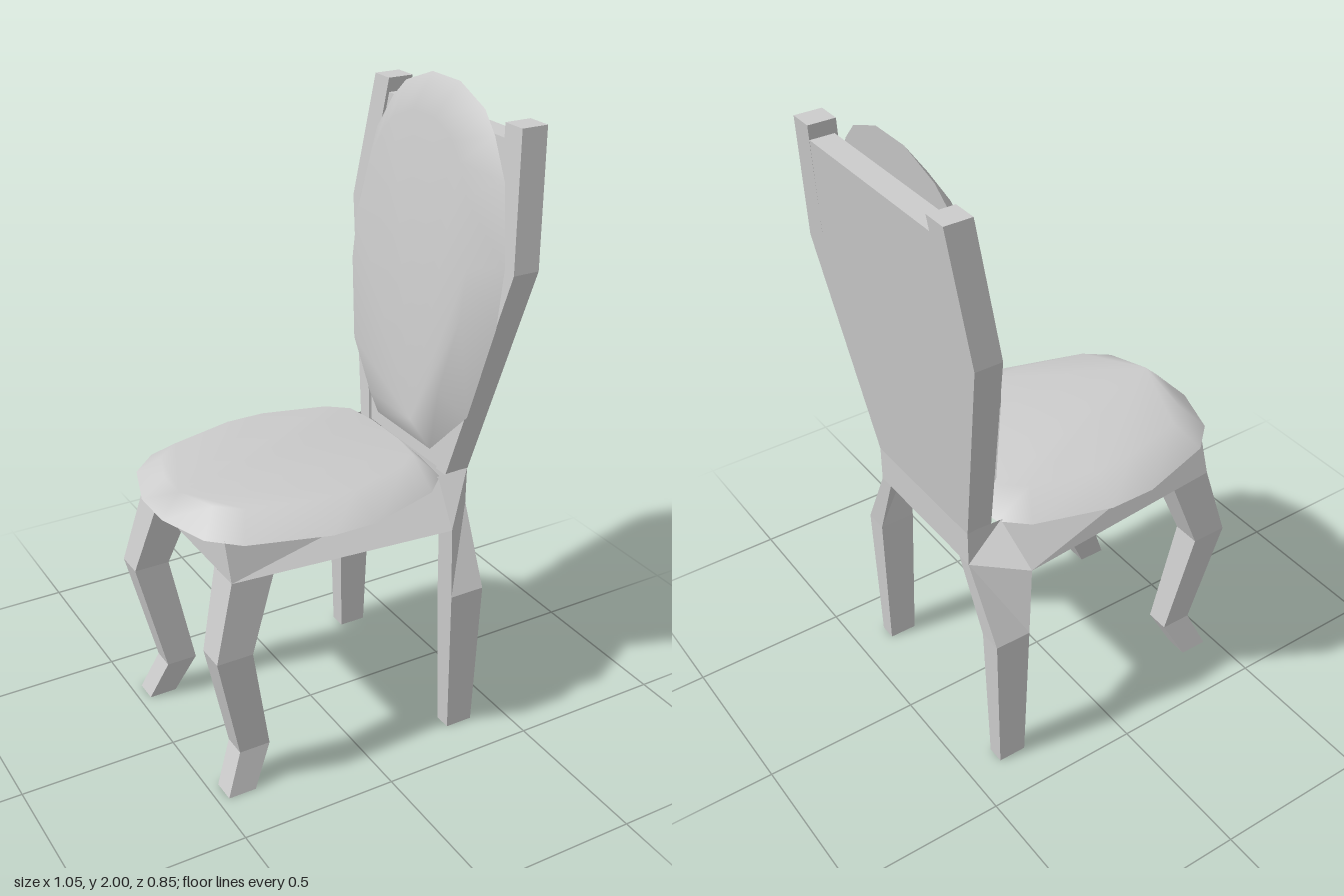
import * as THREE from 'three';

const flat = new THREE.MeshStandardMaterial({ color: 0xcccccc, flatShading: true, side: THREE.DoubleSide });
const smooth = new THREE.MeshStandardMaterial({ color: 0xcccccc, side: THREE.DoubleSide });

// Skin a stack of rings (bottom to top, each running +x on its +z side).
function loft(rings, capBottom, capTop) {
  const n = rings[0].length, pos = rings.flat(2), idx = [];
  for (let i = 0; i < rings.length - 1; i++) {
    for (let j = 0; j < n; j++) {
      const k = (j + 1) % n, a = i * n + j, b = i * n + k;
      idx.push(a, b, b + n, a, b + n, a + n);
    }
  }
  const cap = (start, flip) => {
    for (let j = 1; j < n - 1; j++) {
      idx.push(start, start + (flip ? j + 1 : j), start + (flip ? j : j + 1));
    }
  };
  if (capTop) cap((rings.length - 1) * n, false);
  if (capBottom) {
    // separate vertices keep the rim crisp
    const start = pos.length / 3;
    pos.push(...rings[0].flat());
    cap(start, true);
  }
  const g = new THREE.BufferGeometry();
  g.setAttribute('position', new THREE.Float32BufferAttribute(pos, 3));
  g.setIndex(idx);
  g.computeVertexNormals();
  return g;
}

// Rectangular ring at height y
const rect = (y, x0, x1, z0, z1) => [[x0, y, z1], [x1, y, z1], [x1, y, z0], [x0, y, z0]];

// Close a half outline [u, w] by mirroring it in w
const mirrorRing = (half, y) => [
  ...half.map(([u, w]) => [u, y, w]),
  ...[...half].reverse().map(([u, w]) => [u, y, -w]),
];

// Pad with a wide flat rim and a smaller, raised face
function cushion(half, centre, su, sw, height) {
  const face = half.map(([u, w]) => [centre + (u - centre) * su, w * sw]);
  return loft([mirrorRing(half, 0), mirrorRing(face, height)], true, true);
}

export function createModel() {
  const chair = new THREE.Group();
  chair.name = 'chair';
  const add = (name, geometry, material = flat) => {
    const m = new THREE.Mesh(geometry, material);
    m.name = name;
    chair.add(m);
    return m;
  };
  const addPair = (name, geometry) => {
    add(name + 'Left', geometry);
    add(name + 'Right', geometry).scale.z = -1;
  };

  // Seat pad
  const seat = cushion([[-0.53, 0.07], [-0.475, 0.235], [-0.39, 0.315], [-0.145, 0.388],
    [0, 0.388], [0.235, 0.315], [0.31, 0.245], [0.33, 0.1]], -0.09, 0.85, 0.74, 0.065);
  add('seat', seat, smooth).position.y = 0.855;

  // Back pad: same construction, stood up and leaned back
  const pad = cushion([[0.9, 0.15], [1.07, 0.31], [1.37, 0.385], [1.55, 0.385],
    [1.78, 0.33], [1.89, 0.26], [1.95, 0.2], [2.0, 0.07]], 1.45, 0.82, 0.77, 0.063);
  const p = pad.attributes.position;
  for (let i = 0; i < p.count; i++) {
    const u = p.getX(i), h = p.getY(i);
    p.setXYZ(i, 0.335 + (u - 0.9) * 0.1 - h, u, p.getZ(i));
  }
  pad.computeVertexNormals();
  add('backCushion', pad, smooth);

  // Open apron frame flaring out towards the back legs
  add('apron', loft([
    mirrorRing([[-0.43, 0.31], [0.275, 0.37], [0.41, 0.245]], 0.74),
    mirrorRing([[-0.43, 0.27], [0.3, 0.25], [0.41, 0.245]], 0.86),
  ]));

  // Front legs, bent at the knee and ankle
  addPair('frontLeg', loft([
    rect(0, -0.465, -0.375, 0.25, 0.325),
    rect(0.13, -0.41, -0.31, 0.22, 0.295),
    rect(0.5, -0.495, -0.38, 0.245, 0.335),
    rect(0.74, -0.43, -0.295, 0.2, 0.31),
  ]));

  // Back legs, twisting inwards under the backrest
  addPair('backLeg', loft([
    rect(0, 0.3, 0.39, 0.305, 0.36),
    rect(0.5, 0.285, 0.4, 0.295, 0.37),
    [[0.275, 0.74, 0.37], [0.41, 0.74, 0.245], [0.41, 0.74, 0.195], [0.275, 0.74, 0.3]],
  ]));

  // Back posts
  addPair('backPost', loft([
    rect(0.855, 0.33, 0.41, 0.195, 0.245),
    rect(1.54, 0.4, 0.485, 0.345, 0.427),
    rect(1.935, 0.44, 0.525, 0.295, 0.372),
  ], true, true));

  // Back panel between the posts
  add('backPanel', loft([
    rect(0.855, 0.34, 0.41, -0.2, 0.2),
    rect(1.54, 0.41, 0.485, -0.35, 0.35),
    rect(1.89, 0.445, 0.52, -0.3, 0.3),
  ], true, true));

  return chair;
}
